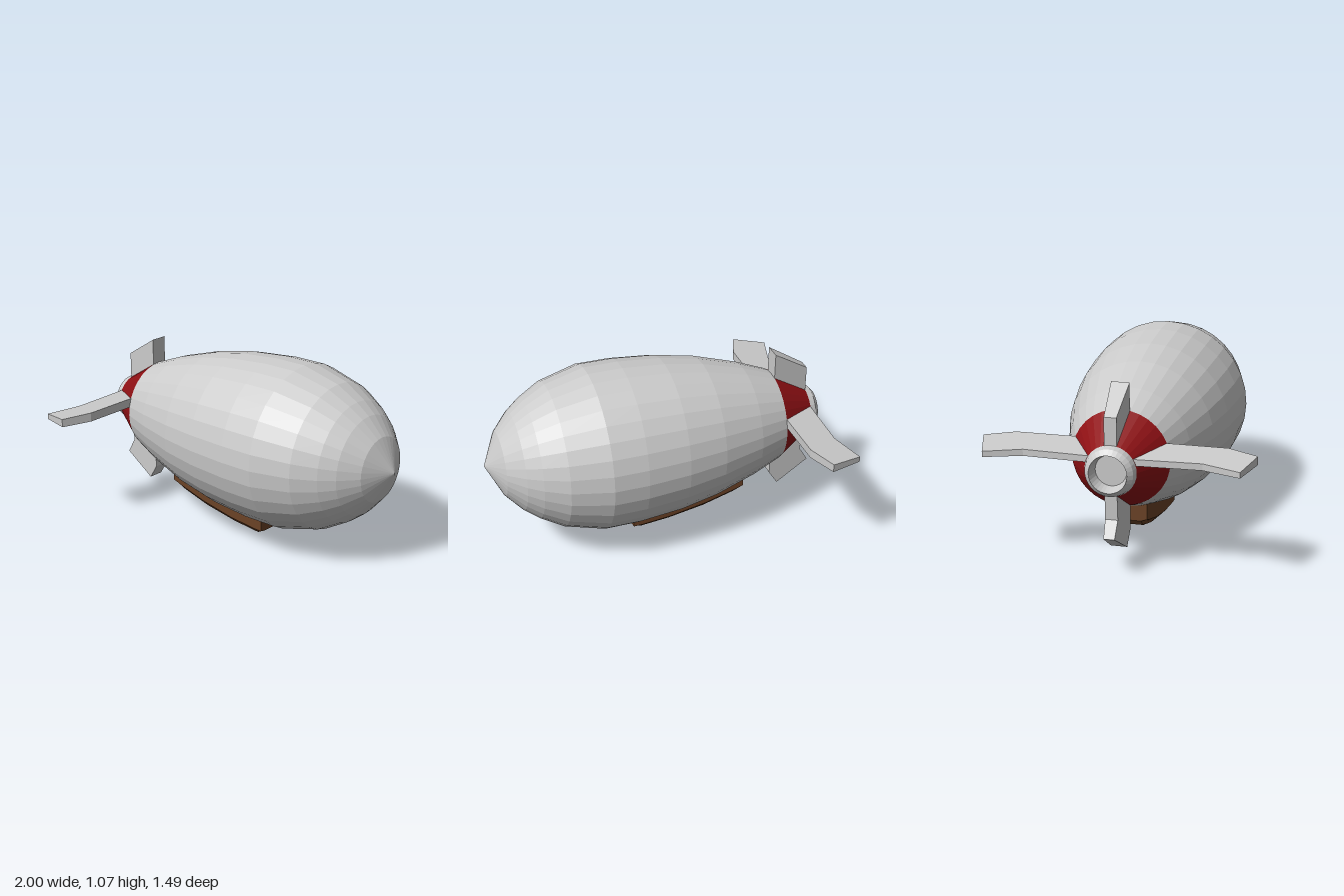
import * as THREE from 'three';

const AXIS_Y = 0.6;
const material = (color) => new THREE.MeshStandardMaterial({ color, flatShading: true });
const grey = material(0xcccccc);
const red = material(0x8f1014);
const brown = material(0x6b4226);

function named(name, geometry, mat) {
  const mesh = new THREE.Mesh(geometry, mat);
  mesh.name = name;
  return mesh;
}

// Surface of revolution along x from [x, radius] pairs
function revolved(name, profile, mat) {
  const geo = new THREE.LatheGeometry(profile.map(([x, r]) => new THREE.Vector2(r, x)), 32);
  geo.rotateZ(-Math.PI / 2).translate(0, AXIS_Y, 0);
  return named(name, geo, mat);
}

// Fin from an (x, distance from axis) outline; lo and hi are [rear, front] side offsets
function fin(name, outline, lo, hi, angle) {
  const shape = new THREE.Shape(outline.map(([x, d]) => new THREE.Vector2(x, d)));
  const geo = new THREE.ExtrudeGeometry(shape, { depth: 1, bevelEnabled: false });
  const pos = geo.attributes.position;
  for (let i = 0; i < pos.count; i++) {
    const t = (pos.getX(i) + 0.985) / 0.255;
    const [rear, front] = pos.getZ(i) > 0.5 ? hi : lo;
    pos.setZ(i, THREE.MathUtils.lerp(rear, front, t));
  }
  geo.rotateX(angle).translate(0, AXIS_Y, 0);
  geo.computeVertexNormals();
  return named(name, geo, grey);
}

// Gondola lofted through hexagonal sections with a chamfered keel
function gondolaGeometry() {
  // x, side edge height, keel height
  const stations = [
    [-0.54, 0.18, 0.168], [-0.49, 0.162, 0.125], [-0.3, 0.105, 0.067],
    [-0.08, 0.06, 0.025], [0.1, 0.04, 0.006], [0.15, 0.038, 0.03],
  ];
  const vertices = [];
  const index = [];
  const n = 6;
  for (const [x, side, keel] of stations) {
    const top = THREE.MathUtils.mapLinear(x, -0.54, 0.15, 0.3, 0.17);
    const section = [[top, 0.095], [side, 0.095], [keel, 0.06], [keel, -0.06], [side, -0.095], [top, -0.095]];
    for (const [y, z] of section) vertices.push(x, y, z);
  }
  for (let s = 0; s < stations.length - 1; s++) {
    for (let k = 0; k < n; k++) {
      const a = s * n + k, b = s * n + (k + 1) % n;
      index.push(a, b, a + n, b, b + n, a + n);
    }
  }
  // End caps
  const last = (stations.length - 1) * n;
  for (let k = 1; k < n - 1; k++) {
    index.push(0, k + 1, k);
    index.push(last, last + k, last + k + 1);
  }
  const geo = new THREE.BufferGeometry();
  geo.setAttribute('position', new THREE.Float32BufferAttribute(vertices, 3));
  geo.setIndex(index);
  geo.computeVertexNormals();
  return geo;
}

export function createModel() {
  const model = new THREE.Group();
  model.name = 'airship';

  // Envelope, tail band and hollow tail ring
  model.add(revolved('hull', [
    [-0.73, 0.27], [-0.55, 0.34], [-0.3, 0.415], [-0.07, 0.458], [0.18, 0.48], [0.38, 0.48],
    [0.61, 0.42], [0.74, 0.347], [0.82, 0.285], [0.91, 0.186], [1, 0],
  ], grey));
  model.add(revolved('tailBand', [[-0.94, 0.14], [-0.73, 0.27]], red));
  model.add(revolved('tailRing', [
    [-0.93, 0], [-0.93, 0.085], [-1, 0.103], [-0.975, 0.13], [-0.94, 0.14],
  ], grey));

  // Upright fins
  const half = [0.03, 0.05];
  const minusHalf = half.map((v) => -v);
  model.add(fin('topFin', [[-0.94, 0.1], [-0.73, 0.1], [-0.73, 0.42], [-0.94, 0.29]], minusHalf, half, 0));
  model.add(fin('bottomFin', [
    [-0.94, 0.1], [-0.73, 0.1], [-0.73, 0.4], [-0.785, 0.485], [-0.985, 0.365], [-0.93, 0.275],
  ], minusHalf, half, Math.PI));

  // Swept side fins, set a little above the axis
  const sideOutline = [
    [-0.94, 0.08], [-0.73, 0.08], [-0.73, 0.58], [-0.795, 0.745], [-0.985, 0.685], [-0.925, 0.48],
  ];
  const under = [0.035, 0.05];
  const over = [0.067, 0.102];
  model.add(fin('rightFin', sideOutline, under, over, -Math.PI / 2));
  model.add(fin('leftFin', sideOutline, over.map((v) => -v), under.map((v) => -v), Math.PI / 2));

  // Cabin below the hull
  model.add(named('gondola', gondolaGeometry(), brown));
  return model;
}
